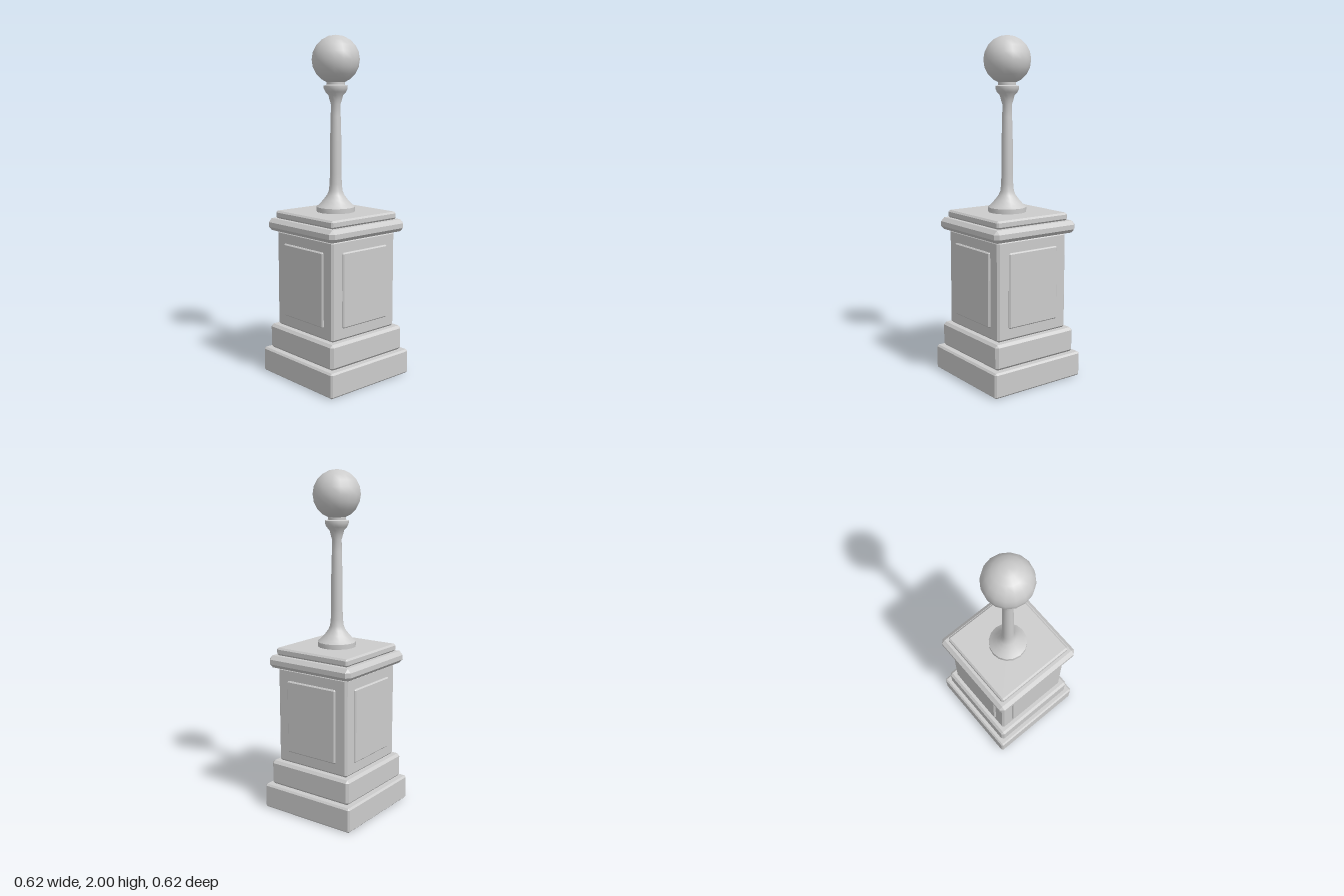
import * as THREE from 'three';
import { ConvexGeometry } from 'three/addons/geometries/ConvexGeometry.js';
import { toCreasedNormals } from 'three/addons/utils/BufferGeometryUtils.js';

const stone = new THREE.MeshStandardMaterial({ color: 0xcccccc });

// Box with every edge chamfered by c
function chamferBox(w, h, d, c) {
  const points = [];
  for (const sx of [-1, 1]) for (const sy of [-1, 1]) for (const sz of [-1, 1]) {
    for (let full = 0; full < 3; full++) {
      const inset = [c, c, c];
      inset[full] = 0;
      points.push(new THREE.Vector3(
        sx * (w / 2 - inset[0]), sy * (h / 2 - inset[1]), sz * (d / 2 - inset[2])));
    }
  }
  return new ConvexGeometry(points);
}

export function createModel() {
  const model = new THREE.Group();
  model.name = 'pedestalWithBall';

  const add = (name, geometry, parent = model) => {
    const mesh = new THREE.Mesh(geometry, stone);
    mesh.name = name;
    parent.add(mesh);
    return mesh;
  };

  // Square pedestal tiers: name, bottom, top, half width, chamfer
  const tiers = [
    ['plinth', 0, 0.147, 0.31, 0.01],
    ['lowerStep', 0.147, 0.295, 0.281, 0.015],
    ['pedestalBody', 0.295, 0.87, 0.246, 0.012],
    ['cornice', 0.87, 0.942, 0.29, 0.022],
    ['topSlab', 0.942, 0.987, 0.253, 0.01],
  ];
  for (const [name, y0, y1, half, c] of tiers) {
    add(name, chamferBox(half * 2, y1 - y0, half * 2, c)).position.y = (y0 + y1) / 2;
  }

  // Raised panel on each side of the body
  const panels = new THREE.Group();
  panels.name = 'sidePanels';
  model.add(panels);
  for (let i = 0; i < 4; i++) {
    const a = i * Math.PI / 2;
    const panel = add('sidePanel', chamferBox(0.345, 0.435, 0.04, 0.007), panels);
    panel.position.set(Math.sin(a) * 0.237, 0.583, Math.cos(a) * 0.237);
    panel.rotation.y = a;
  }

  // Turned post: flared foot, slim shaft, small capital and neck
  const profile = [
    [0, 0.985], [0.113, 0.985], [0.113, 1.015], [0.095, 1.03], [0.07, 1.058],
    [0.05, 1.085], [0.04, 1.11], [0.036, 1.15], [0.034, 1.21], [0.033, 1.4],
    [0.029, 1.54], [0.028, 1.61], [0.036, 1.635], [0.042, 1.66], [0.06, 1.68],
    [0.069, 1.7], [0.069, 1.715], [0.052, 1.72], [0.052, 1.75], [0, 1.75],
  ].map(([r, y]) => new THREE.Vector2(r, y));
  add('post', toCreasedNormals(new THREE.LatheGeometry(profile, 16), 0.75));

  // Ball finial
  add('ball', new THREE.SphereGeometry(0.138, 16, 10)).position.y = 1.862;

  return model;
}
